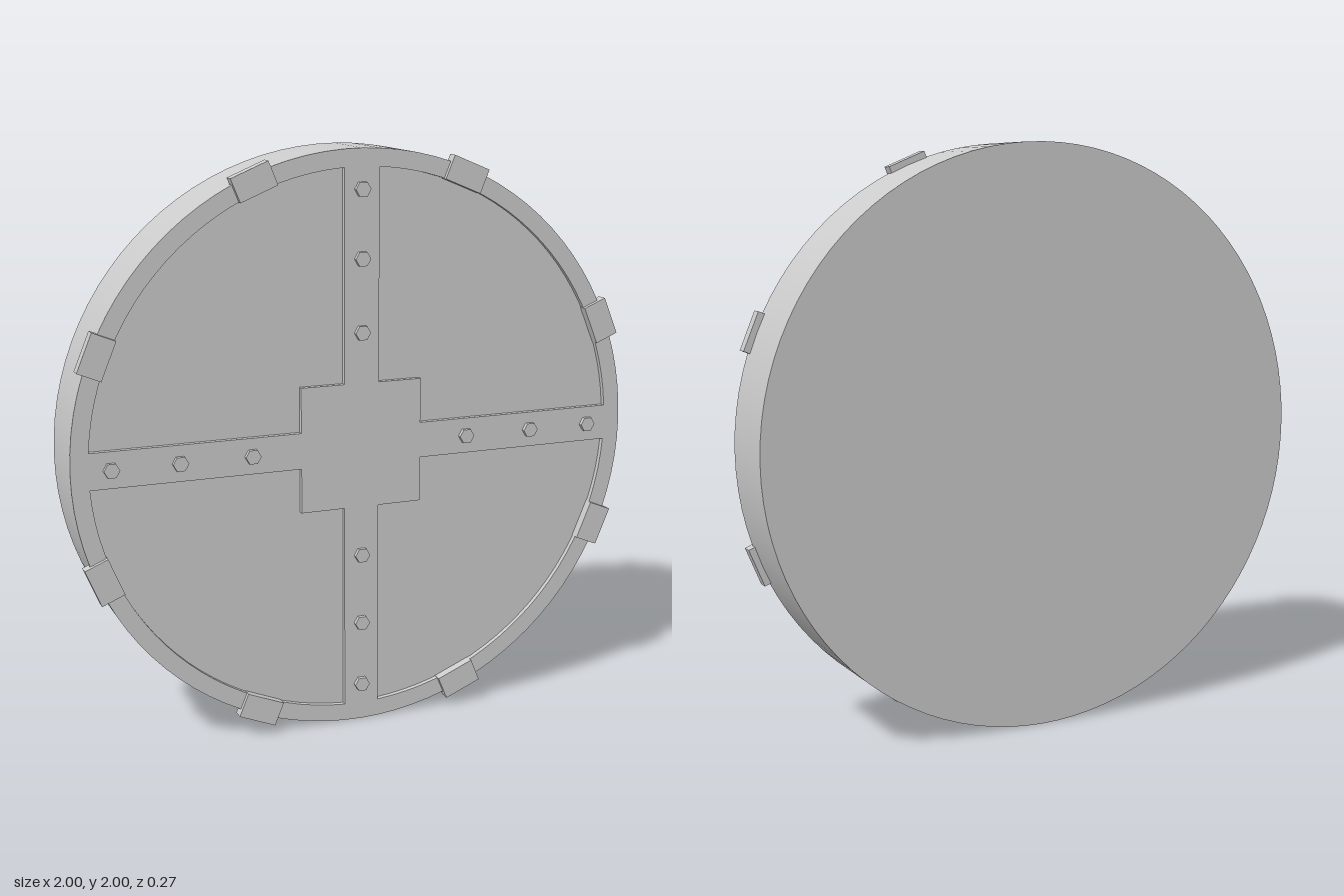
import * as THREE from 'three';
import { toCreasedNormals } from 'three/addons/utils/BufferGeometryUtils.js';

const BACK = -0.135, PANEL = 0.102, FACE = 0.12, FRONT = 0.135;
const ARM = 0.062, HUB = 0.217, INNER = 0.94;

// Outline of one recessed quadrant, turned by a multiple of 90 degrees
function quadrantHole(turn) {
  const a0 = Math.asin(ARM / INNER), a1 = Math.PI / 2 - a0;
  const pts = [[HUB, HUB], [HUB, ARM]];
  for (let i = 0; i <= 24; i++) {
    const a = a0 + (a1 - a0) * i / 24;
    pts.push([INNER * Math.cos(a), INNER * Math.sin(a)]);
  }
  pts.push([ARM, HUB]);
  const origin = new THREE.Vector2();
  return new THREE.Path(pts.map(([x, y]) => new THREE.Vector2(x, y).rotateAround(origin, turn)).reverse());
}

export function createModel() {
  const group = new THREE.Group();
  const grey = new THREE.MeshStandardMaterial({ color: 0xcccccc });
  grey.name = 'grey';
  const disc = new THREE.Group();
  disc.name = 'roundCover';
  disc.position.y = 1;
  group.add(disc);

  const add = (name, geometry, parent = disc) => {
    const mesh = new THREE.Mesh(geometry, grey);
    mesh.name = name;
    parent.add(mesh);
    return mesh;
  };

  // Solid round body; its front cap is the recessed panel surface
  const body = new THREE.CylinderGeometry(1, 1, PANEL - BACK, 96).rotateX(Math.PI / 2);
  add('body', body).position.z = (PANEL + BACK) / 2;

  // Raised rim, cross arms and square hub in one piece
  const outline = new THREE.Shape().absarc(0, 0, 1, 0, Math.PI * 2);
  for (let i = 0; i < 4; i++) outline.holes.push(quadrantHole(i * Math.PI / 2));
  const frame = new THREE.ExtrudeGeometry(outline, { depth: FACE - PANEL, bevelEnabled: false, curveSegments: 48 });
  add('crossFrame', toCreasedNormals(frame, 0.5)).position.z = PANEL;

  // Hexagonal bolts along each arm
  const bolt = new THREE.CylinderGeometry(0.027, 0.027, FRONT - FACE + 0.005, 6)
    .rotateY(Math.PI / 2).rotateX(Math.PI / 2).toNonIndexed();
  bolt.computeVertexNormals();
  for (const [dx, dy] of [[1, 0], [-1, 0], [0, 1], [0, -1]]) {
    for (const r of [0.39, 0.638, 0.867]) {
      add('bolt', bolt).position.set(dx * r, dy * r, (FRONT + FACE - 0.005) / 2);
    }
  }

  // Clamps hooked over the rim
  const clamp = new THREE.BoxGeometry(0.085, 0.138, 0.04);
  for (let i = 0; i < 8; i++) {
    const a = (i + 0.5) * Math.PI / 4;
    const mesh = add('rimClamp', clamp);
    mesh.position.set(0.978 * Math.cos(a), 0.978 * Math.sin(a), FRONT - 0.02);
    mesh.rotation.z = a;
  }
  return group;
}
